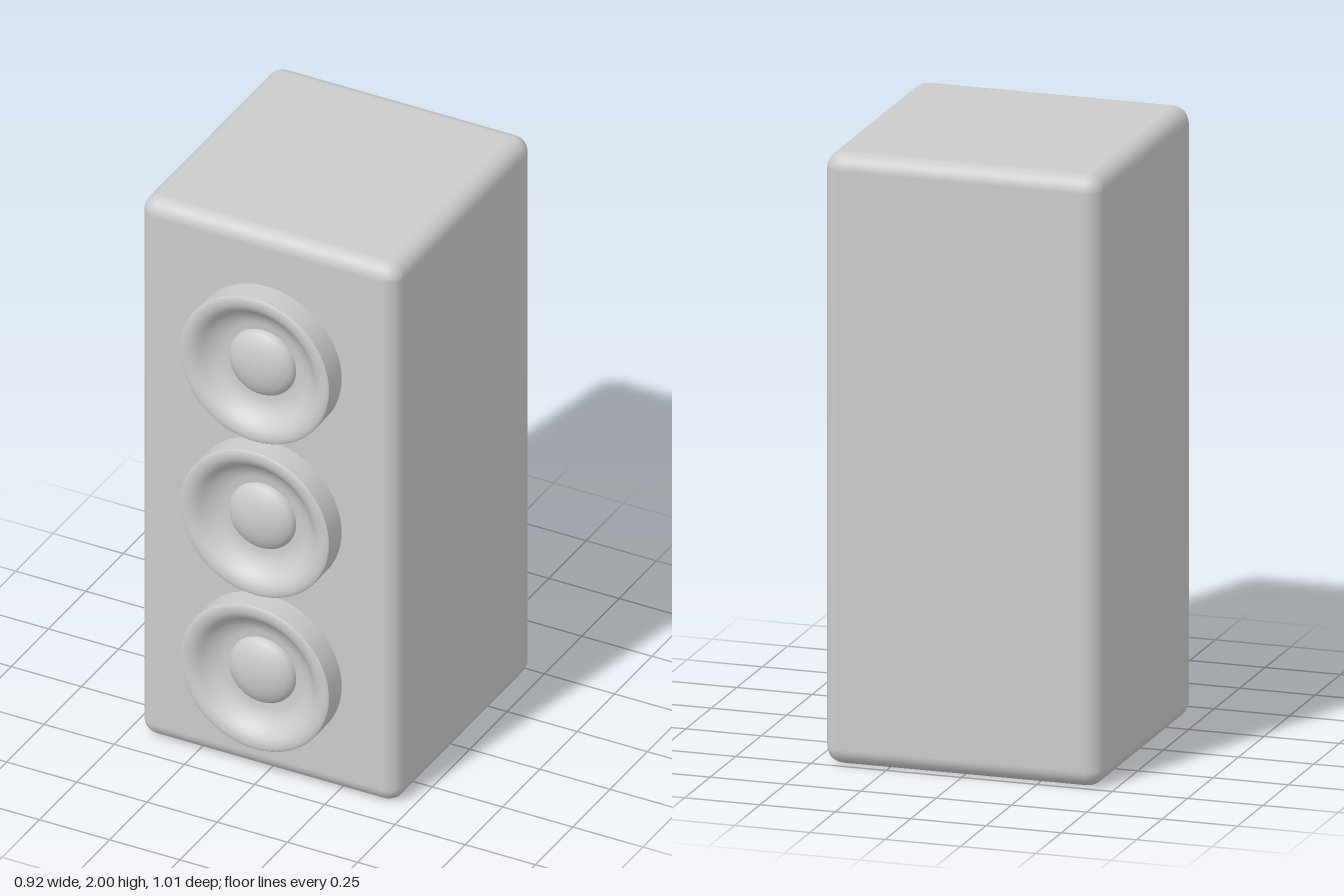
import * as THREE from 'three';
import { RoundedBoxGeometry } from 'three/addons/geometries/RoundedBoxGeometry.js';

const material = new THREE.MeshStandardMaterial({ color: 0xcccccc });

function part(name, geometry) {
  const mesh = new THREE.Mesh(geometry, material);
  mesh.name = name;
  return mesh;
}

// Turned shape whose axis points to the front; points are [radius, depth]
function turned(points) {
  const profile = points.map(([r, z]) => new THREE.Vector2(r, z));
  return new THREE.LatheGeometry(profile, 64).rotateX(Math.PI / 2);
}

// One driver: raised rolled rim, sunken cone and domed centre cap
function createDriver(name) {
  const driver = new THREE.Group();
  driver.name = name;
  driver.add(
    part('rimWall', turned([[0.265, -0.01], [0.265, 0.084]])),
    part('rimAndCone', turned([
      [0.265, 0.084], [0.262, 0.088], [0.25, 0.09], [0.235, 0.089], [0.22, 0.083],
      [0.207, 0.072], [0.195, 0.058], [0.18, 0.045], [0.16, 0.034], [0.14, 0.028], [0.1, 0.026],
    ])),
    part('centreCap', turned([
      [0.118, 0.02], [0.117, 0.034], [0.11, 0.046], [0.095, 0.058],
      [0.07, 0.069], [0.04, 0.076], [0, 0.078],
    ])),
  );
  return driver;
}

export function createModel() {
  const model = new THREE.Group();
  model.name = 'loudspeaker';

  // Cabinet with softened edges
  const cabinet = part('cabinet', new RoundedBoxGeometry(0.92, 2, 0.92, 3, 0.055));
  cabinet.position.set(0, 1, -0.045);
  model.add(cabinet);

  // Three equal drivers stacked on the front
  [['lowerDriver', 0.397], ['middleDriver', 0.971], ['upperDriver', 1.543]].forEach(([name, y]) => {
    const driver = createDriver(name);
    driver.position.set(0, y, 0.415);
    model.add(driver);
  });

  return model;
}
